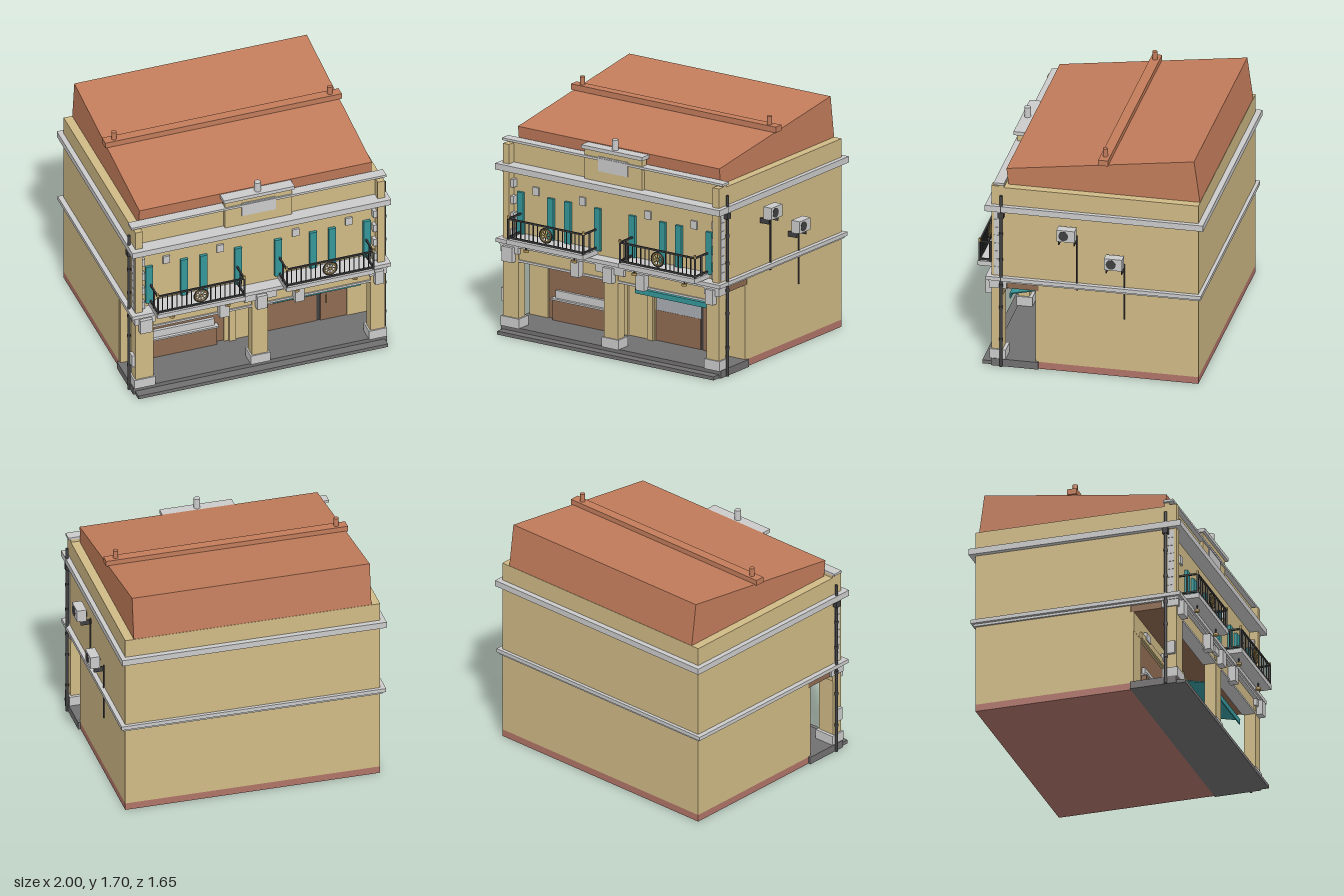
import * as THREE from 'three';

const mat = (name, color) => {
  const m = new THREE.MeshStandardMaterial({ color });
  m.name = name;
  return m;
};

export function createModel() {
  const plaster = mat('plaster', 0xd0ba86), stone = mat('stone', 0xcbcbcb);
  const tile = mat('terracotta', 0xc27c5b), teal = mat('teal paint', 0x36979a);
  const wood = mat('wood', 0x8e6b52), glass = mat('glass', 0xa9adb2);
  const iron = mat('iron', 0x404042), paving = mat('paving', 0x727070);
  const plinth = mat('plinth red', 0xb07468), brass = mat('brass', 0xb3975a);

  const root = new THREE.Group();
  root.name = 'building';
  const add = (name, geo, m, x = 0, y = 0, z = 0, parent = root) => {
    const mesh = new THREE.Mesh(geo, m);
    mesh.name = name;
    mesh.position.set(x, y, z);
    parent.add(mesh);
    return mesh;
  };
  // box given by its extents on each axis
  const box = (name, m, x0, x1, y0, y1, z0, z1, parent = root) =>
    add(name, new THREE.BoxGeometry(x1 - x0, y1 - y0, z1 - z0), m,
      (x0 + x1) / 2, (y0 + y1) / 2, (z0 + z1) / 2, parent);
  const post = (name, m, r, x, y0, y1, z, parent = root, sides = 12) =>
    add(name, new THREE.CylinderGeometry(r, r, y1 - y0, sides), m, x, (y0 + y1) / 2, z, parent);
  const L = -0.963, R = 0.893, C = -0.035;
  // the facade is symmetric about x = C
  const mirrored = (name, m, x0, x1, ...rest) => {
    box(name, m, x0, x1, ...rest);
    box(name, m, 2 * C - x1, 2 * C - x0, ...rest);
  };

  // ground, floor and main masses
  box('plinth', plinth, L, R, 0, 0.052, -0.785, 0.36);
  box('porchFloor', paving, -0.98, 0.91, 0, 0.055, 0.36, 0.7);
  box('frontStep', paving, -0.965, R, 0, 0.026, 0.7, 0.765);
  box('lowerBody', plaster, L, R, 0.052, 0.66, -0.785, 0.36);
  box('upperBody', plaster, L, R, 0.65, 1.38, -0.785, 0.64);
  box('porchCeiling', wood, L + 0.004, R - 0.004, 0.6, 0.655, 0.36, 0.6);

  // string courses
  box('upperCornice', stone, -1, 0.926, 1.2, 1.245, -0.825, 0.74);
  box('lowerCornice', stone, -1, 0.926, 0.667, 0.695, -0.81, 0.735);
  box('lowerCorniceMoulding', stone, -0.978, 0.908, 0.65, 0.667, -0.797, 0.72);

  // parapet with raised centre
  box('parapet', plaster, L, R, 1.38, 1.405, 0.61, 0.645);
  box('parapetCap', stone, -0.985, 0.912, 1.403, 1.42, 0.605, 0.68);
  box('pediment', plaster, -0.285, 0.212, 1.24, 1.47, 0.615, 0.668);
  box('pedimentCap', stone, -0.3, 0.226, 1.468, 1.495, 0.605, 0.688);
  box('pedimentPanel', stone, -0.163, 0.09, 1.322, 1.43, 0.667, 0.675);
  post('finial', stone, 0.023, C, 1.49, 1.57, 0.645, root, 20);

  // sloping roof from its side profile
  const profile = new THREE.Shape([[-0.605, 1.5], [-0.59, 1.37], [0.784, 1.37], [0.74, 1.69]]
    .map(([a, b]) => new THREE.Vector2(a, b)));
  const roof = new THREE.ExtrudeGeometry(profile, { depth: 1.73, bevelEnabled: false });
  roof.rotateY(Math.PI / 2);
  add('roof', roof, tile, -0.9);
  box('roofRidgeBeam', tile, -0.915, 0.845, 1.598, 1.64, -0.126, -0.056);
  for (const x of [-0.84, 0.767]) post('roofPot', tile, 0.018, x, 1.63, 1.7, -0.09, root, 16);

  // corner pilasters with quoins
  mirrored('cornerPilaster', plaster, 0.84, R, 0.69, 1.388, 0.62, 0.7);
  for (let i = 0; i < 8; i++) {
    const y = 0.705 + i * 0.061;
    mirrored('quoin', stone, i % 2 ? 0.842 : 0.815, R + 0.004, y, y + 0.058, 0.632, 0.68);
  }

  // arcade: piers, bases, capitals and beam
  const piers = [[L, -0.83], [-0.095, 0.025], [0.785, R]];
  piers.forEach(([a, b]) => {
    const wide = a === -0.095 ? 0.06 : 0.01;
    box('pier', plaster, a, b, 0.05, 0.62, 0.618, 0.7);
    box('pierBase', stone, a - 0.012, b + 0.012, 0.052, 0.125, 0.595, 0.71);
    box('capital', stone, a - wide, b + wide, 0.6, 0.65, 0.59, 0.715);
    box('capitalBlock', stone, a + 0.022, b - 0.022, 0.54, 0.65, 0.69, 0.745);
  });
  box('arcadeBeam', plaster, L, R, 0.555, 0.655, 0.61, 0.69);
  for (const [a, b] of [[-0.83, -0.095], [0.025, 0.785]])
    box('beamLedge', stone, a, b, 0.54, 0.556, 0.605, 0.7);
  mirrored('balconyBracket', stone, 0.21, 0.28, 0.535, 0.65, 0.685, 0.745);

  // shopfront surround
  for (const [a, b] of [[L + 0.002, -0.8], [-0.19, 0.12], [0.725, R - 0.002]])
    box('shopWall', plaster, a, b, 0.054, 0.6, 0.355, 0.382);
  box('shopLintel', plaster, L + 0.002, R - 0.002, 0.455, 0.6, 0.355, 0.383);
  for (const x of [-0.155, 0.06]) box('shopPilaster', plaster, x, x + 0.05, 0.055, 0.6, 0.38, 0.398);
  box('shopFascia', plaster, -0.82, -0.175, 0.46, 0.505, 0.38, 0.396);
  for (const x of [-0.73, -0.36]) box('shopKeystone', stone, x, x + 0.09, 0.485, 0.54, 0.38, 0.403);

  // left shop: panelling and counter
  box('shopPanel', wood, -0.8, -0.19, 0.055, 0.456, 0.36, 0.368);
  box('counter', wood, -0.745, -0.25, 0.055, 0.205, 0.36, 0.403);
  box('counterTop', stone, -0.757, -0.238, 0.203, 0.216, 0.36, 0.412);
  box('counterScreen', stone, -0.73, -0.265, 0.216, 0.272, 0.368, 0.39);

  // right shop: window, door and awning
  box('stallRiser', wood, 0.12, 0.502, 0.055, 0.278, 0.36, 0.37);
  box('shopWindow', glass, 0.12, 0.502, 0.278, 0.456, 0.36, 0.368);
  box('doorGap', iron, 0.502, 0.536, 0.055, 0.456, 0.36, 0.366);
  box('door', wood, 0.53, 0.725, 0.055, 0.45, 0.36, 0.374);
  box('doorHandle', brass, 0.568, 0.576, 0.2, 0.27, 0.374, 0.384);
  const awning = box('awning', teal, 0.1, 0.75, 0.511, 0.519, 0.377, 0.603);
  awning.rotation.x = Math.atan2(0.05, 0.215);
  box('awningValance', teal, 0.1, 0.75, 0.455, 0.493, 0.592, 0.6);

  // window shutters and keystones
  for (const x of [-0.87, -0.61, -0.465, -0.208, 0.09, 0.35, 0.49, 0.75])
    box('shutter', teal, x, x + 0.052, 0.73, 1.04, 0.635, 0.662);
  for (const x of [-0.74, -0.34, 0.222, 0.618])
    box('windowKeystone', stone, x, x + 0.05, 1.036, 1.096, 0.635, 0.655);

  // balconies with railings and medallions
  for (const cx of [-0.515, 0.445]) {
    const b = new THREE.Group();
    b.name = 'balcony';
    b.position.x = cx;
    root.add(b);
    const h = 0.322, zf = 0.812;
    box('balconySlab', stone, -h - 0.006, h + 0.006, 0.7, 0.735, 0.63, 0.824, b);
    for (const y of [0.75, 0.885]) {
      box('frontRail', iron, -h, h, y - 0.006, y + 0.006, zf - 0.006, zf + 0.006, b);
      for (const s of [-h, h]) box('sideRail', iron, s - 0.006, s + 0.006, y - 0.006, y + 0.006, 0.64, zf, b);
    }
    for (let i = 1; i < 18; i++) {
      const x = -h + i * 2 * h / 18;
      if (Math.abs(x) > 0.045) post('baluster', iron, 0.004, x, 0.75, 0.885, zf, b, 6);
    }
    for (const s of [-h, h]) {
      post('railPost', iron, 0.008, s, 0.735, 0.89, zf, b, 8);
      post('railPost', iron, 0.008, s, 0.735, 0.89, 0.735, b, 8);
      post('postTip', brass, 0.009, s, 0.885, 0.907, zf, b, 8);
    }
    add('medallionRing', new THREE.TorusGeometry(0.042, 0.006, 8, 24), brass, 0, 0.818, zf, b);
    add('medallionOuterRing', new THREE.TorusGeometry(0.052, 0.005, 8, 24), iron, 0, 0.818, zf, b);
    for (let i = 0; i < 4; i++) {
      const spoke = add('medallionSpoke', new THREE.BoxGeometry(0.084, 0.005, 0.006), brass, 0, 0.818, zf, b);
      spoke.rotation.z = i * Math.PI / 4;
    }
    for (const y of [0.758, 0.877]) box('medallionTie', iron, -0.004, 0.004, y - 0.012, y + 0.012, zf - 0.004, zf + 0.004, b);
  }
  for (const x of [-0.715, -0.3, 0.215, 0.645]) {
    post('lamp', brass, 0.019, x, 0.65, 0.667, 0.768);
    post('lampStem', iron, 0.006, x, 0.66, 0.705, 0.768, root, 8);
  }

  // drainpipes
  for (const s of [1, -1]) {
    const x = C + s * 0.951;
    post('drainpipe', iron, 0.011, x, 0, 1.325, 0.626);
    box('drainHopper', iron, x - 0.018, x + 0.014, 1.155, 1.2, 0.606, 0.646);
    for (const y of [0.2, 0.45, 0.62, 0.82, 1.02]) post('pipeCollar', iron, 0.014, x, y, y + 0.02, 0.626);
  }
  box('meterBox', stone, -0.985, -0.955, 0.23, 0.325, 0.635, 0.69);

  // air conditioners on the left wall
  for (const [z, y, low] of [[0.145, 1.052, 0.64], [-0.195, 0.866, 0.45]]) {
    const ac = new THREE.Group();
    ac.name = 'airConditioner';
    root.add(ac);
    box('unitCase', stone, 0.928, 0.998, y, y + 0.088, z - 0.065, z + 0.065, ac);
    const fan = add('fanGrille', new THREE.CylinderGeometry(0.035, 0.035, 0.006, 24), iron, 0.997, y + 0.044, z + 0.016, ac);
    fan.rotation.z = Math.PI / 2;
    for (const dz of [-0.055, 0.055]) {
      box('bracketArm', iron, R - 0.005, 0.975, y - 0.01, y, z + dz - 0.005, z + dz + 0.005, ac);
      box('bracketLeg', iron, R - 0.005, 0.97, y - 0.038, y - 0.01, z + dz - 0.004, z + dz + 0.004, ac);
    }
    post('coolantPipe', iron, 0.006, 0.9, low, y + 0.01, z - 0.06, ac, 8);
  }
  return root;
}
